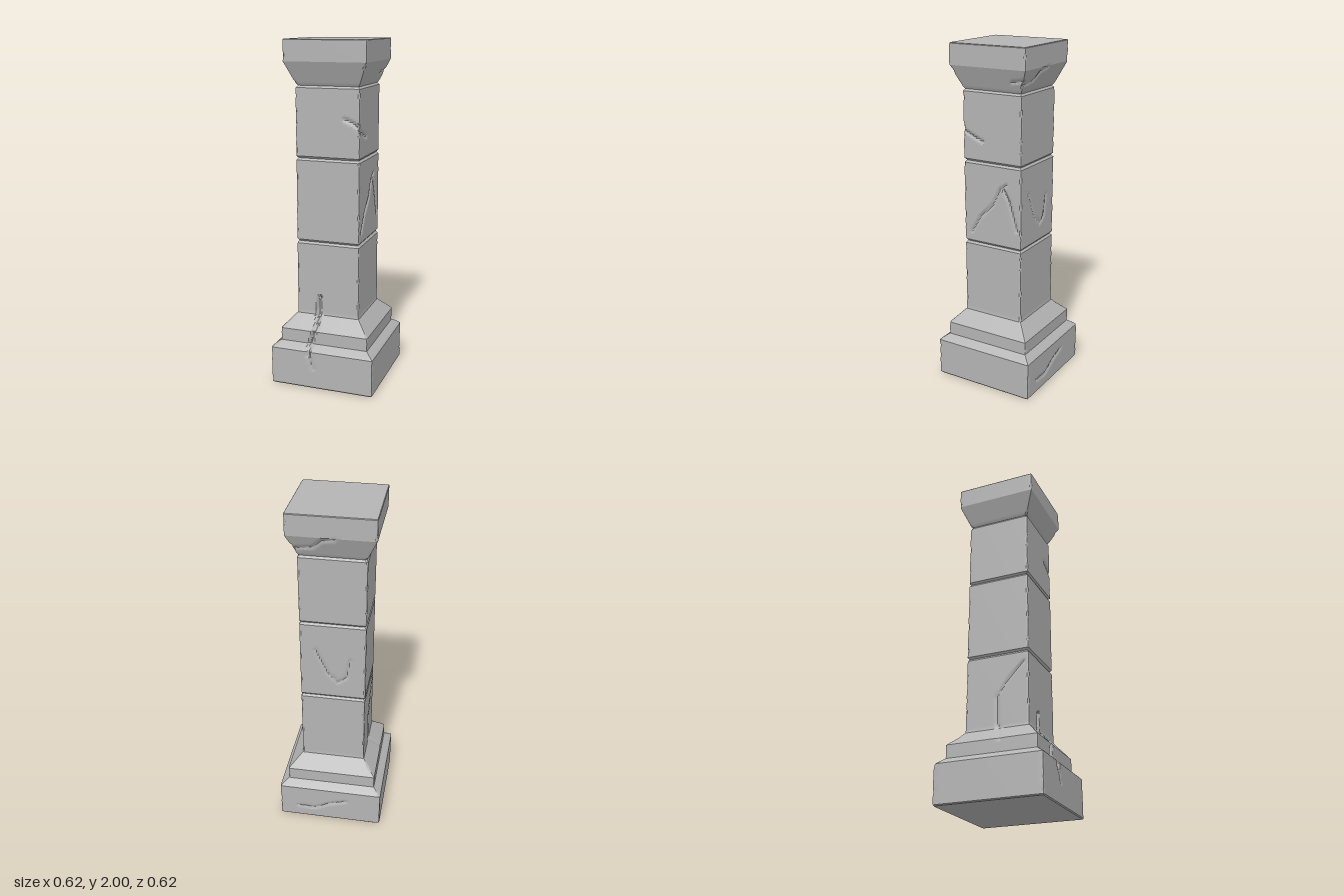
import * as THREE from 'three';
import { toCreasedNormals } from 'three/addons/utils/BufferGeometryUtils.js';

const COLUMNS = 40; // divisions along each side of the square
const ROW = 0.01; // height of one row

// Outward normal and rightward direction of each face, as [x, z]
const FACES = [
  { n: [0, 1], r: [1, 0] }, // front
  { n: [1, 0], r: [0, -1] }, // right-hand side
  { n: [0, -1], r: [-1, 0] }, // back
  { n: [-1, 0], r: [0, 1] }, // left-hand side
];

// Cracks: face index, half width, depth, then points (across the face, height)
const CRACKS = [
  [0, 0.017, 0.022, [[-0.05, 0.52], [-0.06, 0.44], [-0.05, 0.36], [-0.08, 0.26], [-0.08, 0.2]]],
  [0, 0.014, 0.008, [[-0.08, 0.2], [-0.05, 0.12]]],
  [0, 0.018, 0.01, [[0.1, 1.57], [0.15, 1.55], [0.19, 1.52]]],
  [1, 0.016, 0.01, [[-0.19, 1.52], [-0.13, 1.49], [-0.06, 1.46]]],
  [1, 0.015, 0.01, [[-0.14, 0.92], [-0.08, 1.02], [0, 1.1], [0.05, 1.2], [0.09, 1.23]]],
  [1, 0.015, 0.01, [[0.07, 1.21], [0.11, 1.14], [0.16, 0.97]]],
  [1, 0.014, 0.008, [[0.14, 1.81], [0.21, 1.82]]],
  [2, 0.014, 0.007, [[-0.1, 1.17], [-0.03, 1.02], [0.03, 0.96], [0.08, 1.0], [0.1, 1.12]]],
  [2, 0.016, 0.008, [[-0.2, 1.8], [-0.1, 1.81], [-0.05, 1.86], [0.02, 1.87]]],
  [2, 0.016, 0.008, [[-0.2, 0.08], [-0.1, 0.07], [0, 0.12], [0.1, 0.15]]],
  [3, 0.014, 0.007, [[0.16, 0.79], [0.07, 0.7], [0, 0.6], [0, 0.45], [0.05, 0.33]]],
];

function segmentDistance(u, y, [ax, ay], [bx, by]) {
  const dx = bx - ax, dy = by - ay;
  const t = THREE.MathUtils.clamp(((u - ax) * dx + (y - ay) * dy) / (dx * dx + dy * dy), 0, 1);
  return Math.hypot(u - ax - t * dx, y - ay - t * dy);
}

// Depth of the crack groove at a point of a face
function crackDepth(face, u, y) {
  let depth = 0;
  for (const [f, width, deep, points] of CRACKS) {
    if (f !== face) continue;
    for (let i = 1; i < points.length; i++) {
      const d = segmentDistance(u, y, points[i - 1], points[i]);
      depth = Math.max(depth, deep * Math.max(0, 1 - d / width));
    }
  }
  return depth;
}

// Small worn chips along the upright edges
function chipDepth(corner, y) {
  const wave = Math.sin(y * 37 + corner * 2.1) + Math.sin(y * 83 + corner * 4.7);
  return 0.0015 + 0.002 * Math.max(0, wave);
}

// Split sloping and upright profile lines into short rows
function rowsOf(profile) {
  const rows = [profile[0]];
  for (let i = 1; i < profile.length; i++) {
    const [h0, y0] = profile[i - 1], [h1, y1] = profile[i];
    const steps = Math.max(1, Math.round((y1 - y0) / ROW));
    for (let s = 1; s <= steps; s++) {
      const t = s / steps;
      rows.push([h0 + (h1 - h0) * t, y0 + (y1 - y0) * t]);
    }
  }
  return rows;
}

// Square stone lofted through a profile of [half width, height]
function squareStone(name, profile, material) {
  const positions = [], index = [];
  const rows = rowsOf(profile);
  const ring = COLUMNS * 4;
  rows.forEach(([half, y], row) => {
    for (let k = 0; k < ring; k++) {
      const side = Math.floor(k / COLUMNS);
      const { n, r } = FACES[side];
      const u = (((k % COLUMNS) / COLUMNS) * 2 - 1) * half;
      const p = [n[0] * half + r[0] * u, n[1] * half + r[1] * u];
      const q = [...p];
      if (half > 0.05) {
        const isCorner = k % COLUMNS === 0;
        FACES.forEach((face, f) => {
          if (p[0] * face.n[0] + p[1] * face.n[1] < half - 1e-6) return;
          const across = p[0] * face.r[0] + p[1] * face.r[1];
          const inset = crackDepth(f, across, y) + (isCorner ? chipDepth(side, y) : 0);
          q[0] -= face.n[0] * inset;
          q[1] -= face.n[1] * inset;
        });
      }
      positions.push(q[0], y, q[1]);
      if (row > 0) {
        const next = (k + 1) % ring;
        const a = (row - 1) * ring + k, b = (row - 1) * ring + next;
        const c = row * ring + next, d = row * ring + k;
        if (rows[row - 1][0] > 0) index.push(a, b, c);
        if (half > 0) index.push(a, c, d);
      }
    }
  });
  const geometry = new THREE.BufferGeometry();
  geometry.setAttribute('position', new THREE.Float32BufferAttribute(positions, 3));
  geometry.setIndex(index);
  const mesh = new THREE.Mesh(toCreasedNormals(geometry, 0.4), material);
  mesh.name = name;
  return mesh;
}

// Shaft block with softened top and bottom edges
const blockProfile = (y0, y1) => [
  [0, y0], [0.178, y0], [0.188, y0 + 0.012], [0.188, y1 - 0.012], [0.178, y1], [0, y1],
];

export function createModel() {
  const stone = new THREE.MeshStandardMaterial({ color: 0xb4b4b4 });
  stone.name = 'grey stone';
  const pillar = new THREE.Group();
  pillar.name = 'stonePillar';

  // Stepped plinth with the lowest block rising out of it
  pillar.add(squareStone('base', [
    [0, 0], [0.305, 0], [0.31, 0.006], [0.31, 0.224], [0.302, 0.232], [0.265, 0.26], [0.265, 0.335],
    [0.19, 0.415], [0.188, 0.43], [0.188, 0.843], [0.178, 0.855], [0, 0.855],
  ], stone));

  // Two blocks of the shaft
  pillar.add(squareStone('middleBlock', blockProfile(0.855, 1.342), stone));
  pillar.add(squareStone('upperBlock', blockProfile(1.342, 1.748), stone));

  // Flared capital
  pillar.add(squareStone('capital', [
    [0, 1.748], [0.18, 1.748], [0.188, 1.76], [0.24, 1.88], [0.24, 1.996], [0.237, 2], [0, 2],
  ], stone));
  return pillar;
}
